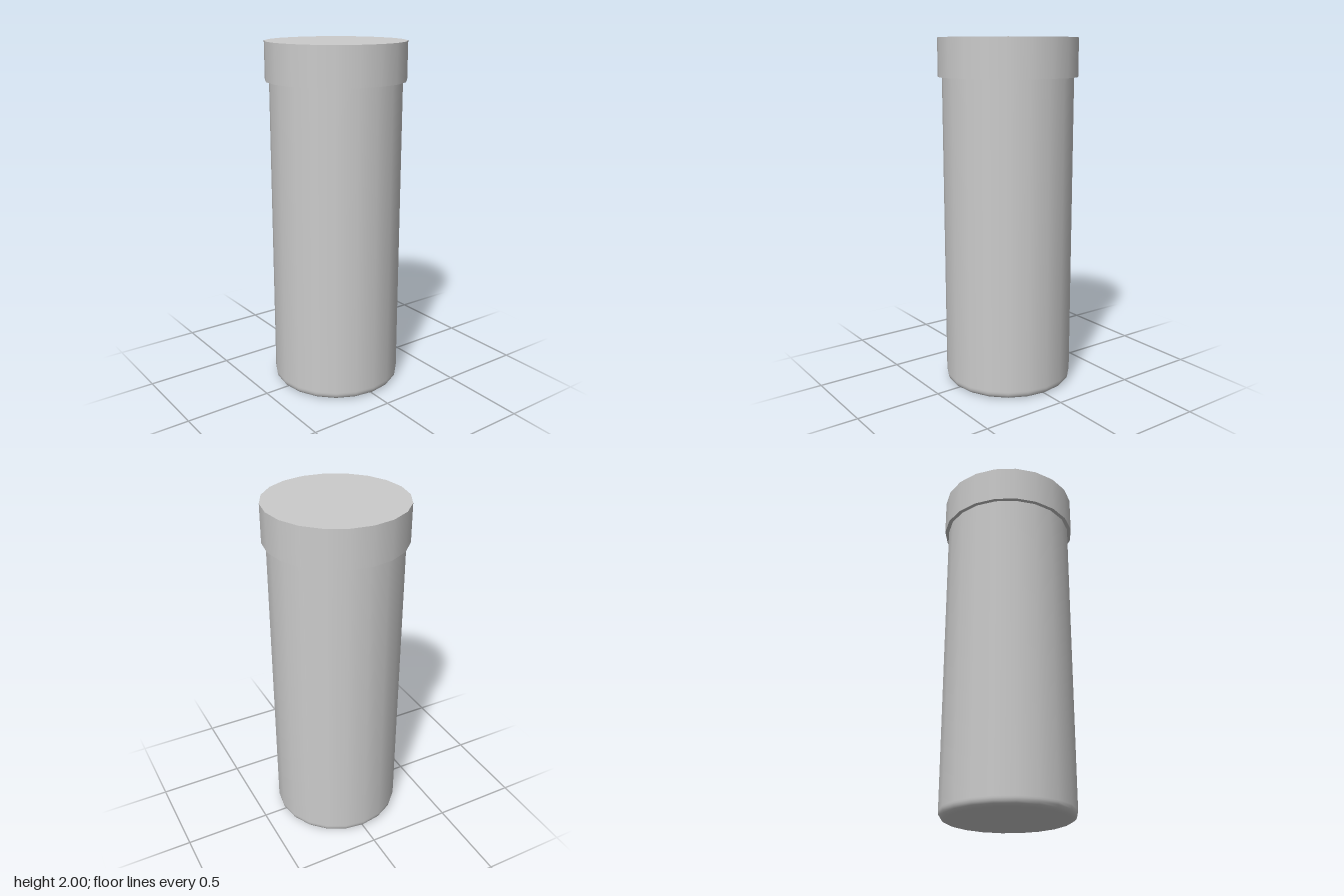
import * as THREE from 'three';

const SIDES = 20;
const BODY_R = 0.372, CAP_R = 0.395;
const CAP_BOTTOM = 1.785, TOP = 2;
const FILLET = 0.035;

export function createModel() {
  const group = new THREE.Group();
  group.name = 'cappedVial';
  const material = new THREE.MeshStandardMaterial({ color: 0xcccccc });

  // Body: straight tube with a flat base and a small rounded bottom edge
  const profile = [new THREE.Vector2(0, 0), new THREE.Vector2(BODY_R - FILLET - 0.01, 0)];
  const steps = 4;
  for (let i = 0; i <= steps; i++) {
    const a = (i / steps) * Math.PI / 2;
    profile.push(new THREE.Vector2(
      BODY_R - FILLET + FILLET * Math.sin(a),
      FILLET - FILLET * Math.cos(a)
    ));
  }
  // Extra ring keeps the wall shading straight above the fillet
  profile.push(new THREE.Vector2(BODY_R, FILLET + 0.01));
  profile.push(new THREE.Vector2(BODY_R, CAP_BOTTOM + 0.02));
  const body = new THREE.Mesh(new THREE.LatheGeometry(profile, SIDES), material);
  body.name = 'body';
  group.add(body);

  // Cap: slightly wider, sharp-edged lid
  const capHeight = TOP - CAP_BOTTOM;
  const cap = new THREE.Mesh(new THREE.CylinderGeometry(CAP_R, CAP_R, capHeight, SIDES), material);
  cap.name = 'cap';
  cap.position.y = CAP_BOTTOM + capHeight / 2;
  group.add(cap);

  return group;
}
